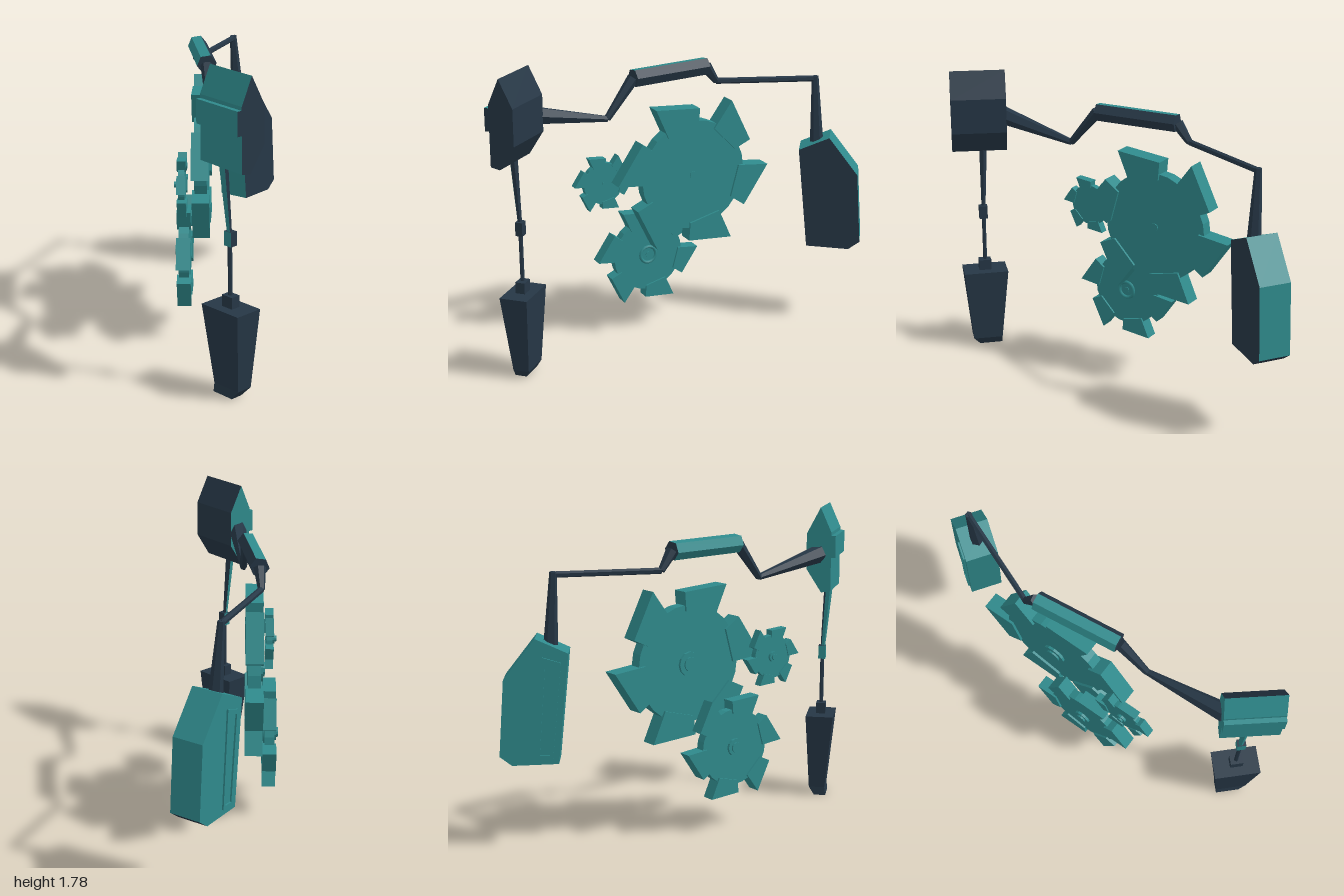
import * as THREE from 'three';

const dark = new THREE.MeshStandardMaterial({ color: 0x263746 });
dark.name = 'dark slate';
const teal = new THREE.MeshStandardMaterial({ color: 0x2f8a8c });
teal.name = 'teal';
const V = (x, y, z) => new THREE.Vector3(x, y, z);

function add(parent, name, geometry, material) {
  const mesh = new THREE.Mesh(geometry, material);
  mesh.name = name;
  parent.add(mesh);
  return mesh;
}

function faceted(geometry) {
  const g = geometry.index ? geometry.toNonIndexed() : geometry;
  g.computeVertexNormals();
  return g;
}

// Tapered bar from a to b; a two-tone bar is teal on its outer back side
function strut(parent, name, a, b, ra, rb, sides = 6, twoTone = false) {
  const dir = b.clone().sub(a);
  let g = new THREE.CylinderGeometry(rb, ra, dir.length(), sides);
  g.applyQuaternion(new THREE.Quaternion().setFromUnitVectors(V(0, 1, 0), dir.normalize()));
  g.translate((a.x + b.x) / 2, (a.y + b.y) / 2, (a.z + b.z) / 2);
  g = faceted(g);
  g.clearGroups();
  if (!twoTone) return add(parent, name, g, dark);
  const n = g.attributes.normal;
  for (let i = 0; i < n.count; i += 3) {
    const outer = -n.getX(i) - 0.4 * n.getZ(i) + 0.2 * n.getY(i);
    g.addGroup(i, 3, outer > 0.25 ? 1 : 0);
  }
  return add(parent, name, g, [dark, teal]);
}

// Prism from a counter-clockwise profile at z = 0 back to z = -depth;
// edgeTones lists 0 (dark) or 1 (teal) for each side, the front is dark, the back teal
function prism(parent, name, pts, depth, edgeTones) {
  const pos = [];
  const tones = [];
  const tri = (tone, ...c) => { c.forEach((p) => pos.push(...p)); tones.push(tone); };
  const f = pts.map(([x, y]) => [x, y, 0]);
  const k = pts.map(([x, y]) => [x, y, -depth]);
  for (let i = 1; i < pts.length - 1; i++) {
    tri(0, f[0], f[i], f[i + 1]);
    tri(1, k[0], k[i + 1], k[i]);
  }
  pts.forEach((_, i) => {
    const j = (i + 1) % pts.length;
    tri(edgeTones[i], f[i], k[i], k[j]);
    tri(edgeTones[i], f[i], k[j], f[j]);
  });
  const g = new THREE.BufferGeometry();
  g.setAttribute('position', new THREE.Float32BufferAttribute(pos, 3));
  g.computeVertexNormals();
  tones.forEach((t, i) => g.addGroup(i * 3, 3, t));
  return add(parent, name, g, [dark, teal]);
}

// Six-toothed saw gear, facing +z
function gear(parent, name, x, y, z, s, thick, hub) {
  const group = new THREE.Group();
  group.name = name;
  group.position.set(x, y, z);
  const disc = (label, r, t, zc, n) => {
    const g = new THREE.CylinderGeometry(r, r, t, n).rotateX(Math.PI / 2);
    add(group, label, faceted(g.translate(0, 0, zc)), teal);
  };
  disc('gearDisc', 0.335 * s, thick * 0.72, 0, 24);
  disc('backHub', hub, 0.03, -thick * 0.36, 12);
  disc('backHubCap', hub * 0.6, 0.03, -thick * 0.36 - 0.01, 12);
  disc('frontHub', hub * 0.35, 0.01, thick * 0.36, 8);
  const at = (deg, r) => {
    const a = THREE.MathUtils.degToRad(deg);
    return new THREE.Vector2(Math.cos(a) * r * s, Math.sin(a) * r * s);
  };
  const shape = new THREE.Shape([at(-35, 0.30), at(-35, 0.41), at(0, 0.495), at(4, 0.30)]);
  for (let i = 0; i < 6; i++) {
    const g = new THREE.ExtrudeGeometry(shape, { depth: thick, bevelEnabled: false });
    add(group, 'gearTooth', g.translate(0, 0, -thick / 2).rotateZ((i * Math.PI) / 3), teal);
  }
  parent.add(group);
  return group;
}

export function createModel() {
  const model = new THREE.Group();
  model.name = 'gearMobile';

  // Upper front block with a side plate
  const block = new THREE.Group();
  block.name = 'upperBlock';
  block.position.set(-0.61, 0, 0.995);
  block.rotation.y = 0.175;
  model.add(block);
  prism(block, 'blockBody', [[0, 1.29], [0.056, 1.28], [0.147, 1.42], [0.147, 1.63], [0.066, 1.787], [0, 1.64]],
    0.33, [0, 0, 0, 0, 1, 1]);
  prism(block, 'blockSidePlate', [[-0.026, 1.49], [0.01, 1.49], [0.01, 1.62], [-0.026, 1.62]], 0.33, [0, 0, 1, 1]);

  // Rear pod with a raised frame on its back
  const pod = new THREE.Group();
  pod.name = 'rearPod';
  pod.position.set(0.347, 0, -0.69);
  pod.rotation.y = 0.45;
  model.add(pod);
  prism(pod, 'podBody', [[0.059, 0.5], [0.314, 0.49], [0.381, 0.54], [0.353, 0.965], [0.18, 1.19], [0, 1.11]],
    0.19, [0, 0, 1, 1, 1, 1]);
  const frame = new THREE.Shape([[0.09, 0.53], [0.18, 0.53], [0.14, 1.09], [0.04, 1.06]].map((p) => new THREE.Vector2(...p)));
  frame.holes.push(new THREE.Path([[0.108, 0.55], [0.162, 0.55], [0.124, 1.06], [0.06, 1.04]].map((p) => new THREE.Vector2(...p))));
  const frameGeo = new THREE.ExtrudeGeometry(frame, { depth: 0.012, bevelEnabled: false });
  add(pod, 'podBackFrame', frameGeo.translate(0, 0, -0.2), teal);

  // Linkage arm from the block to the pod
  const arm = new THREE.Group();
  arm.name = 'linkageArm';
  model.add(arm);
  const elbow = V(-0.38, 1.415, 0.245);
  const barFront = V(-0.31, 1.627, 0.085);
  const barBack = V(-0.12, 1.627, -0.38);
  const step = V(-0.09, 1.525, -0.45);
  const corner = V(0.372, 1.525, -0.825);
  strut(arm, 'armTaper', V(-0.59, 1.51, 0.68), elbow, 0.055, 0.018);
  strut(arm, 'armFrontRiser', elbow, barFront, 0.02, 0.035);
  strut(arm, 'hexBar', barFront, barBack, 0.055, 0.055, 6, true);
  strut(arm, 'armBackRiser', barBack, step, 0.035, 0.02);
  strut(arm, 'armBeam', step, corner, 0.018, 0.018);
  strut(arm, 'podHanger', V(0.4, 1.1, -0.815), V(0.37, 1.54, -0.825), 0.042, 0.02);

  // Hanging weight below the block
  const hanger = new THREE.Group();
  hanger.name = 'hangingWeight';
  model.add(hanger);
  strut(hanger, 'upperRod', V(-0.61, 1.32, 0.805), V(-0.576, 0.9, 0.81), 0.026, 0.013, 6, true);
  strut(hanger, 'lowerRod', V(-0.576, 0.9, 0.81), V(-0.574, 0.54, 0.81), 0.012, 0.012);
  const weight = new THREE.Group();
  weight.name = 'weight';
  weight.position.set(-0.573, 0, 0.812);
  weight.rotation.y = 0.26;
  hanger.add(weight);
  const joint = new THREE.BoxGeometry(0.042, 0.08, 0.05).translate(0, 0.89, 0);
  add(weight, 'rodJoint', joint, [dark, teal, dark, dark, dark, teal]);
  add(weight, 'weightCollar', new THREE.BoxGeometry(0.056, 0.08, 0.075).translate(0, 0.535, 0), dark);
  // Sections from the base up: y, width, depth, sideways shift, depth shift
  const sections = [[0.005, 0.07, 0.14, -0.008, -0.02], [0.055, 0.095, 0.18, 0.011, 0], [0.51, 0.165, 0.27, 0, 0]];
  const body = new THREE.BoxGeometry(1, 2, 1, 1, 2, 1);
  const p = body.attributes.position;
  for (let i = 0; i < p.count; i++) {
    const [y, w, d, sx, sz] = sections[Math.round(p.getY(i)) + 1];
    p.setXYZ(i, p.getX(i) * w + sx, y, p.getZ(i) * d + sz);
  }
  add(weight, 'weightBody', faceted(body), dark);

  // Gear train, turned sideways
  const gears = new THREE.Group();
  gears.name = 'gearTrain';
  gears.rotation.y = Math.PI / 3;
  model.add(gears);
  gear(gears, 'largeGear', 0.162, 0.988, -0.27, 1, 0.1, 0.07);
  const middle = gear(gears, 'middleGear', -0.093, 0.49, -0.365, 0.66, 0.08, 0.05);
  add(middle, 'frontHubRing', new THREE.TorusGeometry(0.05, 0.01, 6, 16).translate(0, 0, 0.029), teal);
  gear(gears, 'smallGear', -0.37, 0.98, -0.365, 0.375, 0.05, 0.03);

  return model;
}
